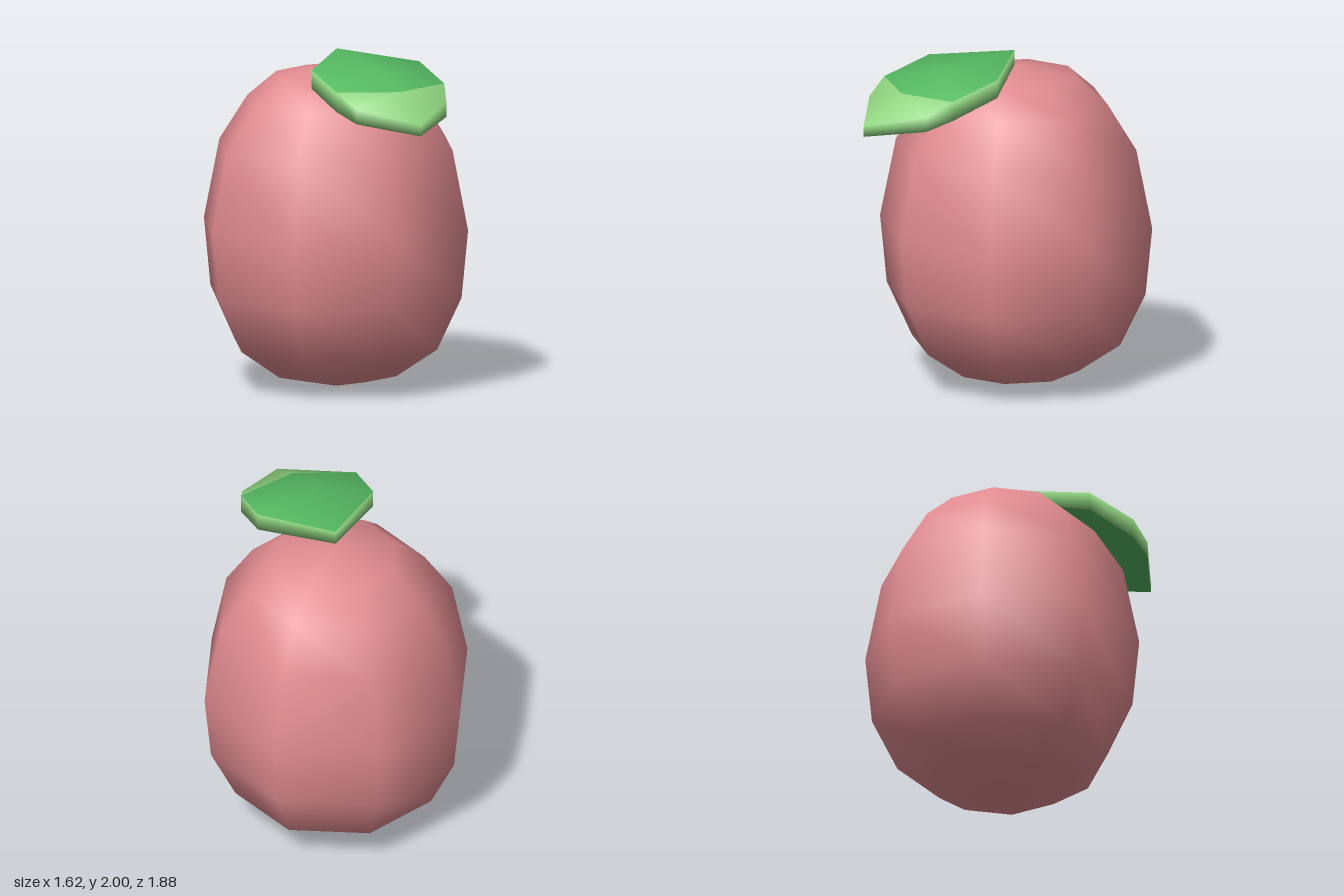
import * as THREE from 'three';
import { mergeVertices } from 'three/addons/utils/BufferGeometryUtils.js';

const mat = (name, color) => {
  const m = new THREE.MeshStandardMaterial({ color });
  m.name = name;
  return m;
};

// Eight-sided fruit turned from a profile, with smooth normals
function createBody() {
  const profile = [
    [0, 0], [0.37, 0.075], [0.62, 0.245], [0.77, 0.56], [0.81, 0.96],
    [0.715, 1.43], [0.545, 1.695], [0.365, 1.848], [0, 1.915],
  ].map(([r, y]) => new THREE.Vector2(r, y));
  let geo = new THREE.LatheGeometry(profile, 8);
  geo.deleteAttribute('uv');
  geo.deleteAttribute('normal');
  geo = mergeVertices(geo, 1e-4);
  geo.computeVertexNormals();
  const body = new THREE.Mesh(geo, mat('pink skin', 0xe08b90));
  body.name = 'fruitBody';
  body.position.z = -0.135;
  return body;
}

// Thick leaf: an outline with top and bottom heights, plus two ridge points
function createLeaf() {
  // x, z, top y, bottom y; rim from the back tip round the right side
  const side = [[0.355, 0.24, 1.95, 1.842], [0.355, 0.555, 1.865, 1.75], [0.295, 0.7, 1.78, 1.693]];
  const points = [
    [0, -0.125, 2.0, 1.915],
    ...side.map(([x, ...rest]) => [-x, ...rest]),
    [0, 0.94, 1.7, 1.635],
    ...[...side].reverse(),
    [0, 0.39, 1.952, 1.85], // ridge middle
    [0, 0.675, 1.858, 1.76], // ridge fold
  ];
  const n = points.length, rim = 8, mid = 8, fold = 9;
  const pos = [];
  points.forEach(([x, z, top]) => pos.push(x, top, z));
  points.forEach(([x, z, , bottom]) => pos.push(x, bottom, z));

  const blade = [[mid, 0, 1], [mid, 1, 2], [mid, 2, fold], [mid, fold, 6], [mid, 6, 7], [mid, 7, 0]];
  const tip = [2, 3, 4, 5].map((i) => [fold, i, i + 1]);
  const under = [...blade, ...tip].map(([a, b, c]) => [a + n, c + n, b + n]);
  const wall = [];
  for (let i = 0; i < rim; i++) {
    const j = (i + 1) % rim;
    wall.push([i, i + n, j + n], [i, j + n, j]);
  }

  const dark = [...blade, ...under].flat();
  const light = [...tip, ...wall].flat();
  const geo = new THREE.BufferGeometry();
  geo.setAttribute('position', new THREE.Float32BufferAttribute(pos, 3));
  geo.setIndex([...dark, ...light]);
  geo.addGroup(0, dark.length, 0);
  geo.addGroup(dark.length, light.length, 1);
  geo.computeVertexNormals();
  const leaf = new THREE.Mesh(geo, [mat('leaf green', 0x55b862), mat('light leaf green', 0x90d480)]);
  leaf.name = 'leaf';
  return leaf;
}

export function createModel() {
  const model = new THREE.Group();
  model.name = 'fruit';
  model.add(createBody(), createLeaf());
  return model;
}
